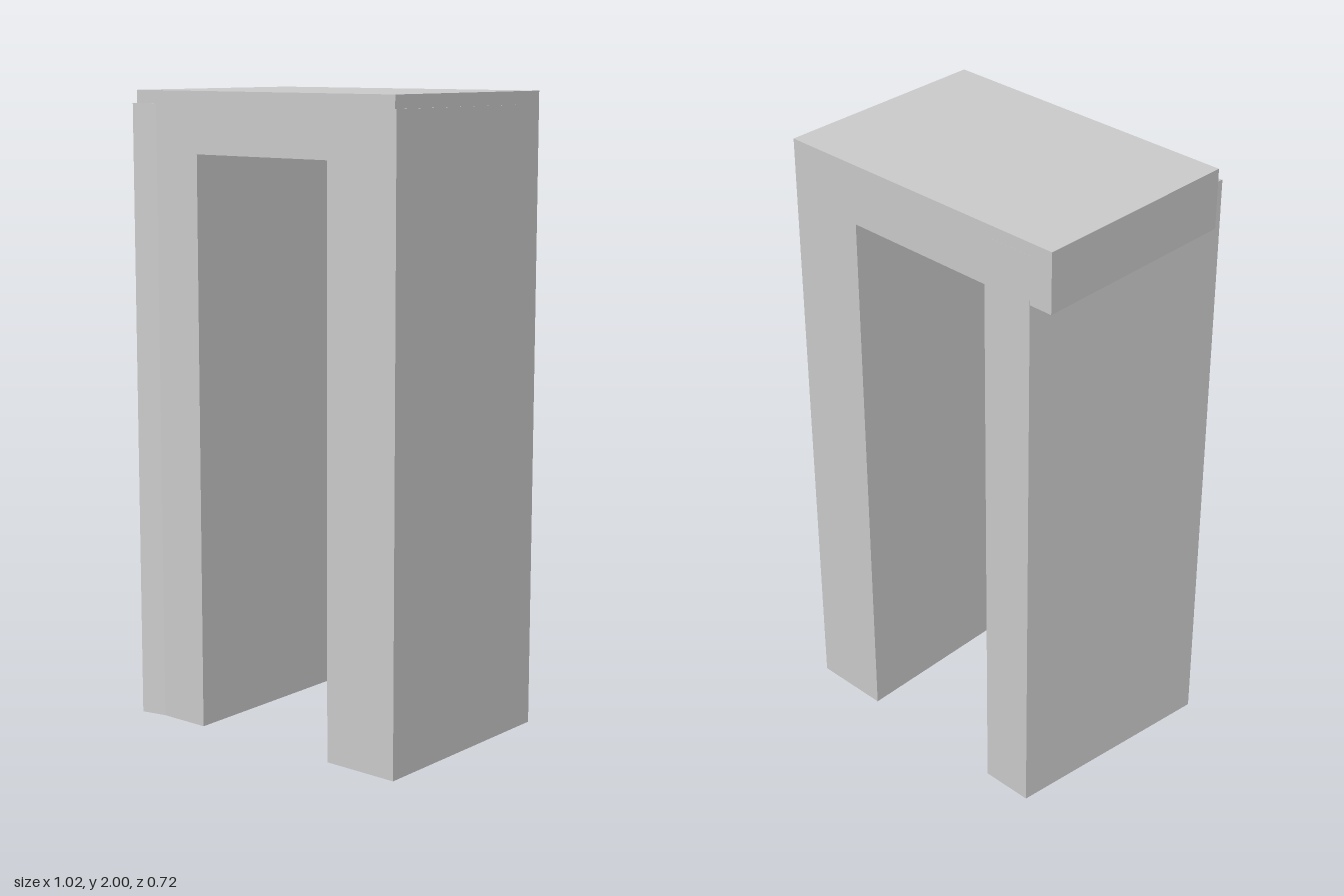
import * as THREE from 'three';

const material = new THREE.MeshStandardMaterial({ color: 0xcccccc, flatShading: true });

// Upright prism over a floor outline of [x, z] corners
function prism(name, outline, bottom, top) {
  const shape = new THREE.Shape(outline.map(([x, z]) => new THREE.Vector2(x, -z)));
  const geometry = new THREE.ExtrudeGeometry(shape, { depth: top - bottom, bevelEnabled: false });
  geometry.rotateX(-Math.PI / 2).translate(0, bottom, 0);
  const mesh = new THREE.Mesh(geometry, material);
  mesh.name = name;
  return mesh;
}

export function createModel() {
  const group = new THREE.Group();
  group.name = 'archway';

  // Slightly skewed slab across the top
  group.add(prism('lintel',
    [[-0.508, -0.353], [0.508, -0.361], [0.503, 0.339], [-0.512, 0.339]], 1.81, 2));

  // Straight pillar, its top just below the slab's top
  group.add(prism('leftPillar',
    [[0.255, -0.359], [0.508, -0.361], [0.508, 0.339], [0.255, 0.339]], 0, 1.96));

  // Pillar that narrows to the back and flares out at its front corner
  group.add(prism('rightPillar',
    [[-0.26, -0.355], [-0.26, 0.339], [-0.43, 0.339], [-0.513, 0.357], [-0.43, -0.354]], 0, 1.96));

  return group;
}
